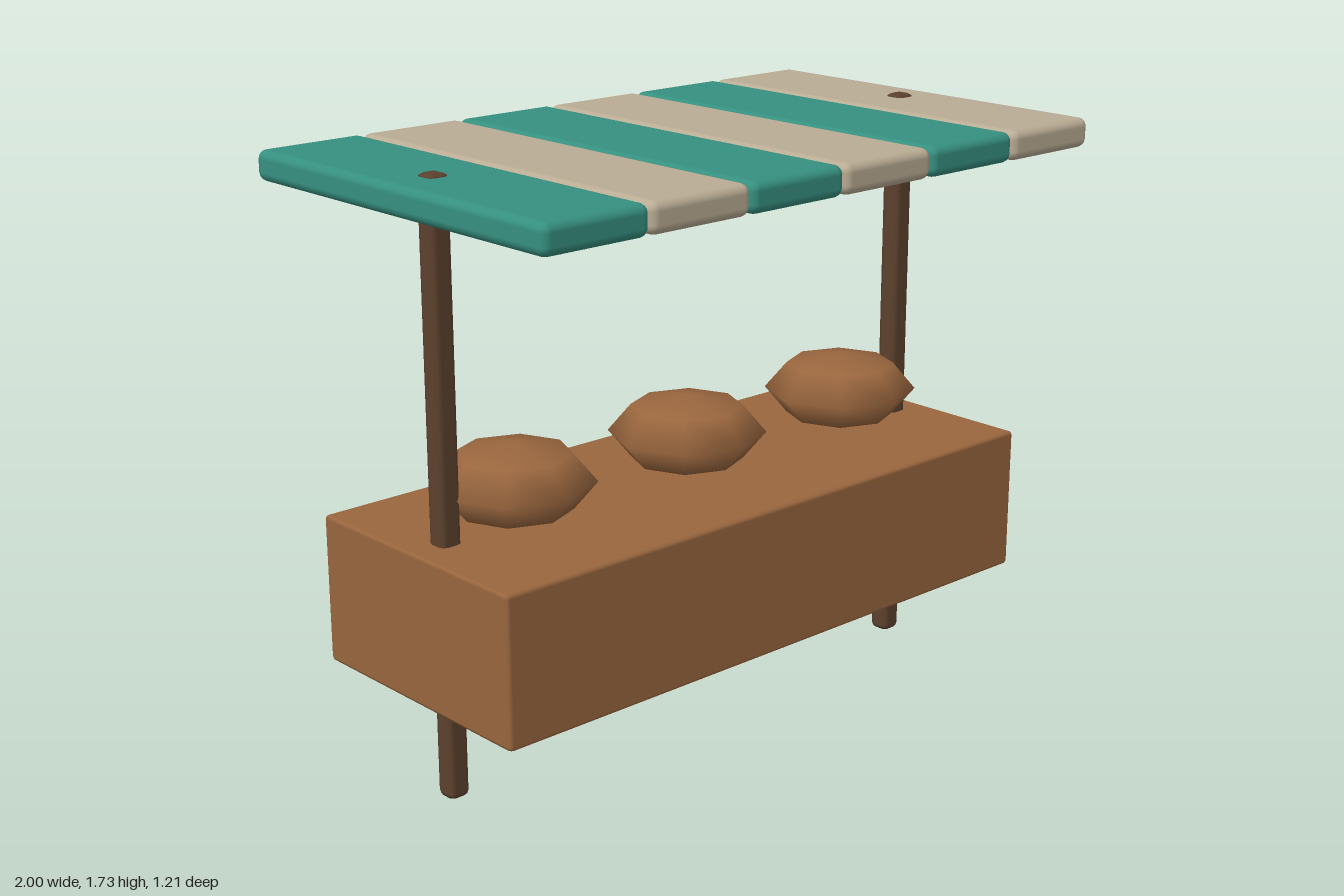
import * as THREE from 'three';
import { RoundedBoxGeometry } from 'three/addons/geometries/RoundedBoxGeometry.js';

function material(name, color) {
  const m = new THREE.MeshStandardMaterial({ color });
  m.name = name;
  return m;
}

export function createModel() {
  const group = new THREE.Group();
  group.name = 'marketStall';
  const wood = material('warmWood', 0x99663e);
  const darkWood = material('darkWood', 0x5c412e);
  const teal = material('teal', 0x369080);
  const cream = material('cream', 0xbaac94);

  const add = (name, geometry, mat, x, y, z = 0) => {
    const mesh = new THREE.Mesh(geometry, mat);
    mesh.name = name;
    mesh.position.set(x, y, z);
    group.add(mesh);
    return mesh;
  };

  // Counter block with slightly softened edges
  add('counter', new RoundedBoxGeometry(1.95, 0.43, 0.8, 1, 0.012), wood, 0, 0.52);

  // Two posts running through counter and awning
  const post = new RoundedBoxGeometry(0.066, 1.725, 0.066, 1, 0.018);
  add('leftPost', post, darkWood, 0.863, 0.8625);
  add('rightPost', post, darkWood, -0.863, 0.8625);

  // Awning of six alternating planks
  const width = 2 / 6;
  const plank = new RoundedBoxGeometry(width, 0.086, 1.205, 2, 0.026);
  for (let i = 0; i < 6; i++) {
    add(`awningPlank${i + 1}`, plank, i % 2 ? cream : teal, -1 + width * (i + 0.5), 1.672);
  }

  // Row of flattened goods on the counter
  const good = new THREE.SphereGeometry(0.227, 8, 4);
  good.scale(1, 0.49, 1);
  [-0.63, 0, 0.63].forEach((x, i) => add(`loaf${i + 1}`, good, wood, x, 0.855));

  return group;
}
